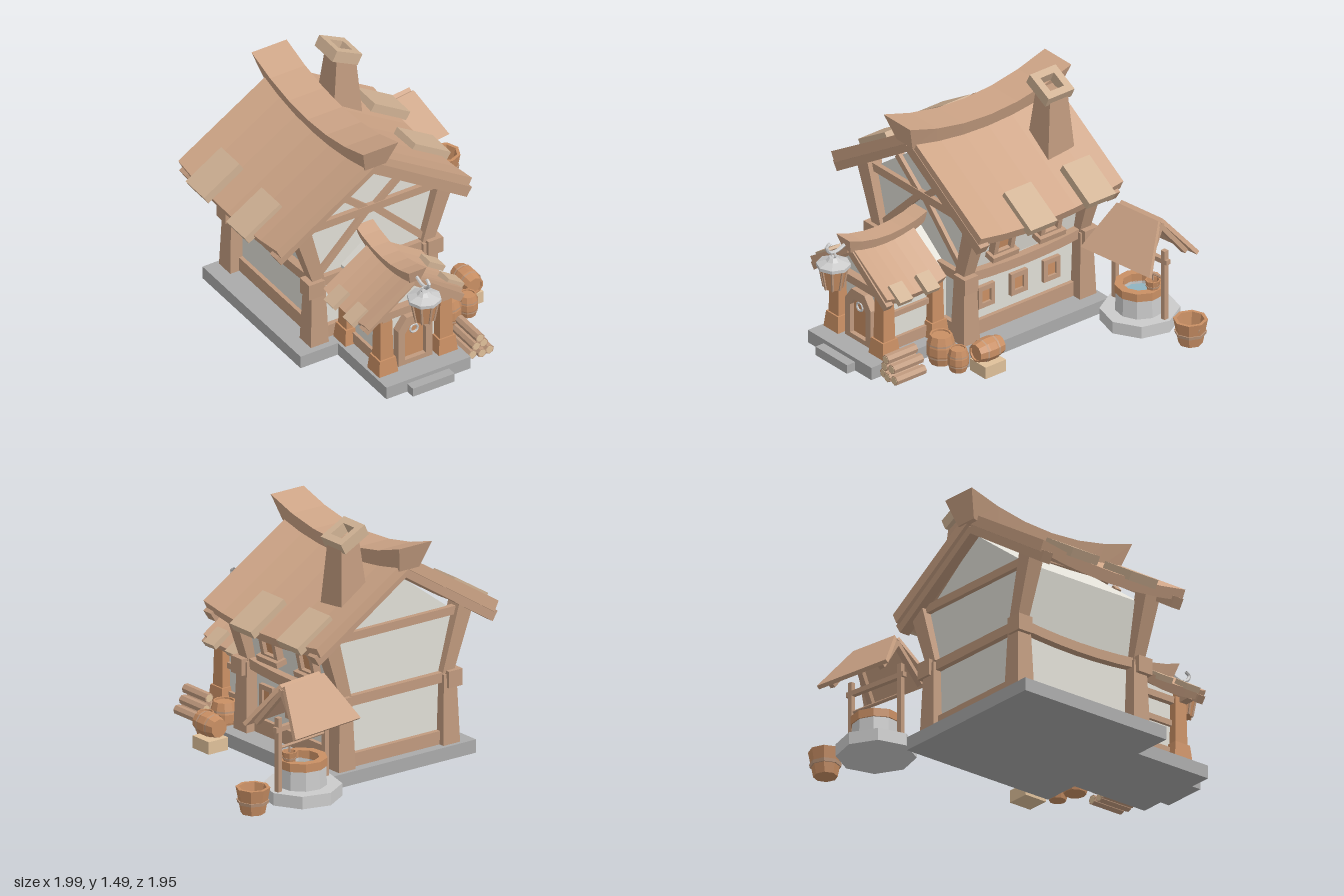
import * as THREE from 'three';

const mat = (color) => new THREE.MeshStandardMaterial({ color, flatShading: true, side: THREE.DoubleSide });
const V = (x, y, z) => new THREE.Vector3(x, y, z);

export function createModel() {
  const root = new THREE.Group();
  const wood = mat(0xc09a7e), roofM = mat(0xcda486), tile = mat(0xd0b294), orange = mat(0xc98f64);
  const plaster = mat(0xdfddd5), stone = mat(0xaaaaaa), grey = mat(0xcccccc), cut = mat(0xdfc09a), water = mat(0x8fb4c0);
  let parent = root;
  const add = (name, geo, m, x = 0, y = 0, z = 0) => {
    const o = new THREE.Mesh(geo, m);
    o.name = name;
    o.position.set(x, y, z);
    parent.add(o);
    return o;
  };
  const group = (name, x, y, z, build) => {
    const g = new THREE.Group(), old = parent;
    g.name = name;
    g.position.set(x, y, z);
    parent.add(g);
    parent = g;
    build(g);
    parent = old;
  };
  const box = (name, m, w, h, d, x, y, z) => add(name, new THREE.BoxGeometry(w, h, d), m, x, y, z);
  // Square or round beam between two points
  const beam = (name, m, a, b, r0, r1 = r0, sides = 4) => {
    const k = sides === 4 ? Math.SQRT2 : 1;
    const g = new THREE.CylinderGeometry(r1 * k, r0 * k, a.distanceTo(b), sides);
    if (sides === 4) g.rotateY(Math.PI / 4);
    const o = add(name, g, m);
    o.position.lerpVectors(a, b, 0.5);
    o.quaternion.setFromUnitVectors(V(0, 1, 0), b.clone().sub(a).normalize());
    return o;
  };
  const poly = (pts) => new THREE.Shape(pts.map(([x, y]) => new THREE.Vector2(x, y)));
  const extrude = (shape, depth, steps = 1) =>
    new THREE.ExtrudeGeometry(shape, { depth, steps, bevelEnabled: false, curveSegments: 6 });
  // Prism along z that sags in the middle; flare pushes the upper ends outward
  const sagPrism = (name, m, pts, cx, z0, z1, sag, flare = 0) => {
    const g = extrude(poly(pts), z1 - z0, 6), p = g.attributes.position, half = (z1 - z0) / 2;
    const top = Math.max(...pts.map((q) => q[1]));
    for (let i = 0; i < p.count; i++) {
      const t = p.getZ(i) / half - 1, y = p.getY(i);
      p.setY(i, y - sag * (1 - t * t));
      p.setZ(i, p.getZ(i) + flare * t * (y - top));
    }
    g.computeVertexNormals();
    return add(name, g, m, cx, 0, z0);
  };
  const lathe = (name, m, pts, x, y, z, sides = 8) =>
    add(name, new THREE.LatheGeometry(pts.map(([a, b]) => new THREE.Vector2(a, b)), sides), m, x, y, z);
  const archShape = (w, h) => {
    const s = new THREE.Shape();
    s.moveTo(-w / 2, 0);
    s.lineTo(w / 2, 0);
    s.lineTo(w / 2, h - w * 0.35);
    s.lineTo(w * 0.25, h);
    s.lineTo(-w * 0.25, h);
    s.lineTo(-w / 2, h - w * 0.35);
    s.closePath();
    return s;
  };
  const rectShape = (w, h) => poly([[-w / 2, 0], [w / 2, 0], [w / 2, h], [-w / 2, h]]);
  const frame = (outer, inner, depth) => {
    outer.holes.push(new THREE.Path(inner.getPoints().map((p) => p.clone().add(new THREE.Vector2(0, 0.03)))));
    return extrude(outer, depth);
  };
  // Gable roof: two sagging sheets and a flared ridge cap
  const roof = (name, cx, half, ridge, eave, th, z0, z1, sag) => group(name, cx, 0, 0, () => {
    for (const s of [-1, 1])
      sagPrism('roofSheet', roofM, [[0, ridge], [s * half, eave], [s * (half - 0.03), eave - th], [0, ridge - th * 1.2]],
        0, z0 - (s > 0 ? 0.015 : 0), z1 - (s > 0 ? 0.015 : 0), sag);
  });
  const CX = -0.25, RX = -0.283;

  // Stone footing
  box('foundation', stone, 1.05, 0.08, 1.04, -0.255, 0.04, -0.17);
  box('porchFoundation', stone, 0.565, 0.08, 0.52, -0.248, 0.04, 0.605);
  box('doorStep', stone, 0.28, 0.055, 0.07, -0.25, 0.0275, 0.89);

  // Main house walls and timber frame
  group('house', CX, 0, 0, () => {
    add('walls', extrude(poly([[-0.35, 0.08], [0.35, 0.08], [0.35, 0.5], [0.43, 0.86], [0, 1.18], [-0.43, 0.86], [-0.35, 0.5]]), 0.84),
      plaster, 0, 0, -0.6);
    for (const s of [-1, 1]) {
      for (const z of [0.25, -0.605]) {
        beam('lowerPost', wood, V(s * 0.375, 0.08, z), V(s * 0.375, 0.5, z), 0.06, 0.045);
        beam('upperPost', wood, V(s * 0.365, 0.5, z), V(s * 0.49, 0.91, z), 0.038, 0.052);
        box('cornerBlock', wood, 0.1, 0.1, 0.1, s * 0.4, 0.47, z + Math.sign(z) * 0.015);
      }
      sagPrism('sideBeam', wood, [[-0.03, 0.46], [0.03, 0.46], [0.03, 0.52], [-0.03, 0.52]], s * 0.37, -0.6, 0.24, 0.025);
      box('sidePlank', wood, 0.04, 0.09, 0.8, s * 0.355, 0.125, -0.18);
    }
    for (const z of [0.25, -0.61]) {
      box('floorBeam', wood, 0.74, 0.06, 0.05, 0, 0.48, z);
      box('tieBeam', wood, 0.86, 0.05, 0.04, 0, 0.865, z);
      box('sillPlank', wood, 0.72, 0.08, 0.04, 0, 0.12, z);
    }
    for (const s of [-1, 1]) {
      beam('lowerBrace', wood, V(s * 0.02, 0.86, 0.245), V(s * 0.36, 0.52, 0.245), 0.02);
      beam('upperBrace', wood, V(s * 0.03, 0.87, 0.245), V(s * 0.22, 1.03, 0.245), 0.02);
    }
    // Side windows
    for (const z of [0.09, -0.15, -0.39]) {
      add('lowWindowFrame', frame(rectShape(0.12, 0.14), rectShape(0.065, 0.08), 0.03).rotateY(Math.PI / 2), wood, 0.345, 0.24, z);
      box('lowWindowPane', orange, 0.02, 0.1, 0.08, 0.35, 0.31, z);
    }
    for (const z of [0, -0.345]) group('upperWindow', 0.365, 0.58, z, (g) => {
      g.rotation.z = -0.22;
      add('windowFrame', frame(archShape(0.15, 0.19), archShape(0.09, 0.12), 0.05).rotateY(Math.PI / 2), wood);
      add('windowPane', extrude(archShape(0.1, 0.15), 0.025).rotateY(Math.PI / 2), orange, 0, 0.02, 0);
      box('windowSill', wood, 0.09, 0.035, 0.19, 0.03, 0, 0);
    });
  });

  // Main roof
  roof('mainRoof', RX, 0.66, 1.29, 0.88, 0.06, -0.69, 0.355, 0.05);
  sagPrism('mainRidge', roofM, [[-0.118, 1.38], [0.118, 1.38], [0.07, 1.22], [-0.07, 1.22]], RX, -0.77, 0.415, 0.11, 0.35);
  for (const s of [-1, 1]) {
    for (const z of [0.31, -0.65]) beam('rafter', wood, V(RX, 1.2, z), V(RX + s * 0.64, 0.79, z), 0.033);
    for (const z of s > 0 ? [-0.075, -0.505] : [0.01, -0.42])
      box('roofPatch', tile, 0.28, 0.055, 0.195, RX + s * 0.586, 0.895 + (z < -0.3 ? 0.02 : 0), z).rotation.z = -s * 0.556;
  }

  // Chimney with tilted cap
  beam('chimney', wood, V(0, 0.98, -0.48), V(0.01, 1.39, -0.48), 0.1, 0.064);
  const cap = add('chimneyCap', frame(rectShape(0.19, 0.19), poly([[-0.05, 0.015], [0.05, 0.015], [0.05, 0.115], [-0.05, 0.115]]), 0.07)
    .translate(0, -0.095, -0.035).rotateX(-Math.PI / 2), tile, 0, 1.42, -0.48);
  cap.rotation.z = -0.47;

  // Porch
  group('porch', CX, 0, 0, () => {
    add('porchWalls', extrude(poly([[-0.19, 0.08], [0.19, 0.08], [0.19, 0.48], [-0.03, 0.65], [-0.19, 0.53]]), 0.46), plaster, 0, 0, 0.22);
    for (const s of [-1, 1]) {
      for (const z of [0.7, 0.34]) {
        beam('porchPost', orange, V(s * 0.2, 0.08, z), V(s * 0.2, 0.47, z), 0.046, 0.038);
        beam('postFoot', orange, V(s * 0.2, 0.08, z), V(s * 0.2, 0.18, z), 0.064, 0.054);
      }
      box('porchRail', wood, 0.03, 0.035, 0.36, s * 0.195, 0.31, 0.5);
      box('porchPlank', wood, 0.03, 0.07, 0.36, s * 0.195, 0.12, 0.5);
      box('porchTopBeam', wood, 0.05, 0.04, 0.4, s * 0.2, 0.45, 0.54);
      beam('porchRafter', wood, V(-0.033, 0.67, 0.745), V(-0.033 + s * 0.325, 0.43, 0.745), 0.024);
    }
    box('porchTieBeam', wood, 0.58, 0.05, 0.05, -0.02, 0.465, 0.715);
    add('doorFrame', frame(archShape(0.23, 0.32), archShape(0.14, 0.23), 0.06), wood, 0, 0.08, 0.67);
    add('door', extrude(archShape(0.16, 0.28), 0.03), orange, 0, 0.08, 0.67);
    add('doorRing', new THREE.TorusGeometry(0.026, 0.007, 5, 10), grey, 0, 0.3, 0.715);
  });
  roof('porchRoof', -0.285, 0.335, 0.71, 0.49, 0.045, 0.34, 0.775, 0.03);
  sagPrism('porchRidge', roofM, [[-0.06, 0.77], [0.06, 0.77], [0.035, 0.68], [-0.035, 0.68]], -0.285, 0.22, 0.81, 0.06, 0.3);
  for (const s of [-1, 1]) for (const z of [0.455, 0.655])
    box('porchPatch', tile, 0.125, 0.035, 0.095, -0.282 + s * 0.318, 0.49, z).rotation.z = -s * 0.58;

  // Lantern on a curled hook
  group('lantern', -0.285, 0, 0.88, () => {
    lathe('lanternBody', orange, [[0, 0.475], [0.055, 0.475], [0.08, 0.61], [0, 0.61]], 0, 0, 0);
    for (let i = 0; i < 8; i++) {
      const c = Math.cos(i * Math.PI / 4), s = Math.sin(i * Math.PI / 4);
      beam('lanternBar', wood, V(c * 0.055, 0.475, s * 0.055), V(c * 0.08, 0.61, s * 0.08), 0.006);
    }
    lathe('lanternCap', grey, [[0, 0.6], [0.1, 0.61], [0.1, 0.63], [0.045, 0.65], [0.025, 0.67], [0, 0.67]], 0, 0, 0);
    add('lanternRing', new THREE.TorusGeometry(0.02, 0.006, 5, 8), grey, 0, 0.685, 0);
    const path = new THREE.CatmullRomCurve3([V(0, 0.72, -0.08), V(0, 0.7, -0.02), V(0, 0.71, 0.03), V(0, 0.75, 0.05), V(0, 0.765, 0.025)]);
    add('hook', new THREE.TubeGeometry(path, 12, 0.011, 6), grey);
  });

  // Buckets
  const bucket = (x, y, z, k) => group('bucket', x, y, z, (g) => {
    g.scale.setScalar(k);
    lathe('bucketBody', orange, [[0, 0], [0.07, 0], [0.1, 0.155], [0.08, 0.155], [0.06, 0.03], [0, 0.03]], 0, 0, 0);
    lathe('bucketHoop', wood, [[0.083, 0.06], [0.09, 0.06], [0.094, 0.08], [0.088, 0.08]], 0, 0, 0);
    const h = add('bucketHandle', new THREE.TorusGeometry(0.09, 0.006, 4, 10, Math.PI), wood, 0, 0.14, 0);
    h.rotation.x = Math.PI * 0.9;
  });
  bucket(0.89, 0.03, -0.775, 1);

  // Well
  group('well', 0.5, 0, -0.725, (g) => {
    g.rotation.y = 0.137;
    lathe('wellBase', grey, [[0, 0.03], [0.23, 0.03], [0.23, 0.105], [0, 0.105]], 0, 0, 0);
    lathe('wellWall', grey, [[0.145, 0.1], [0.14, 0.225], [0.1, 0.225], [0.1, 0.1]], 0, 0, 0, 10);
    lathe('wellRim', orange, [[0.1, 0.22], [0.148, 0.22], [0.148, 0.27], [0.1, 0.27], [0.1, 0.22]], 0, 0, 0, 10);
    add('water', new THREE.CylinderGeometry(0.1, 0.1, 0.01, 10), water, 0, 0.2, 0);
    const L = Math.hypot(0.19, 0.25), a = Math.atan2(0.19, 0.25);
    for (const s of [-1, 1]) {
      beam('wellPost', wood, V(s * 0.19, 0.1, 0), V(s * 0.19, 0.55, 0), 0.015);
      group('wellRoofSide', 0, 0, 0, (side) => {
        side.rotation.y = s > 0 ? 0 : Math.PI;
        const p = add('wellRoofPanel', extrude(poly([[-0.265, 0], [0.265, 0], [0.16, L], [-0.16, L]]), 0.025), roofM, 0, 0.47, 0.19);
        p.rotation.x = -a;
        for (const e of [-1, 1]) beam('wellRafter', wood, V(e * 0.19, 0.48, 0.17), V(e * 0.15, 0.7, 0), 0.018);
      });
    }
    box('wellCrossbeam', wood, 0.44, 0.03, 0.03, 0, 0.48, 0);
    beam('winch', wood, V(-0.2, 0.365, 0), V(0.2, 0.365, 0), 0.009, 0.009, 6);
    beam('rope', wood, V(0.1, 0.32, 0), V(0.1, 0.365, 0), 0.004);
    bucket(0.1, 0.255, 0, 0.45);
  });

  // Barrels beside the porch
  const barrel = (x, y, z, r, h, lying) => group('barrel', x, y, z, (g) => {
    if (lying) g.rotation.x = Math.PI / 2;
    lathe('barrelBody', orange, [[0, -h / 2], [r * 0.78, -h / 2], [r, -h * 0.14], [r, h * 0.14], [r * 0.78, h / 2],
      [r * 0.65, h / 2], [r * 0.65, h * 0.44], [0, h * 0.44]], 0, 0, 0, 10);
    for (const s of [-1, 1])
      add('barrelHoop', new THREE.CylinderGeometry(r * 0.98, r * 0.98, h * 0.06, 10, 1, true), wood, 0, s * h * 0.22, 0);
  });
  barrel(0.145, 0.11, 0.445, 0.083, 0.18);
  barrel(0.287, 0.095, 0.435, 0.062, 0.14);
  barrel(0.372, 0.147, 0.29, 0.07, 0.18, true);
  box('crate', cut, 0.14, 0.075, 0.15, 0.37, 0.0385, 0.285);

  // Stacked firewood
  for (let row = 0; row < 3; row++) for (let i = 0; i < 3 - row; i++) {
    const x = 0.08 + i * 0.054 + row * 0.02, y = 0.048 + row * 0.055, dz = 0.008 * ((i * 2 + row) % 3);
    beam('log', wood, V(x, y, 0.6 + dz), V(x, y, 0.815 + dz), 0.03, 0.03, 7);
    beam('logEnd', cut, V(x, y, 0.598 + dz), V(x, y, 0.817 + dz), 0.024, 0.024, 7);
  }
  return root;
}
